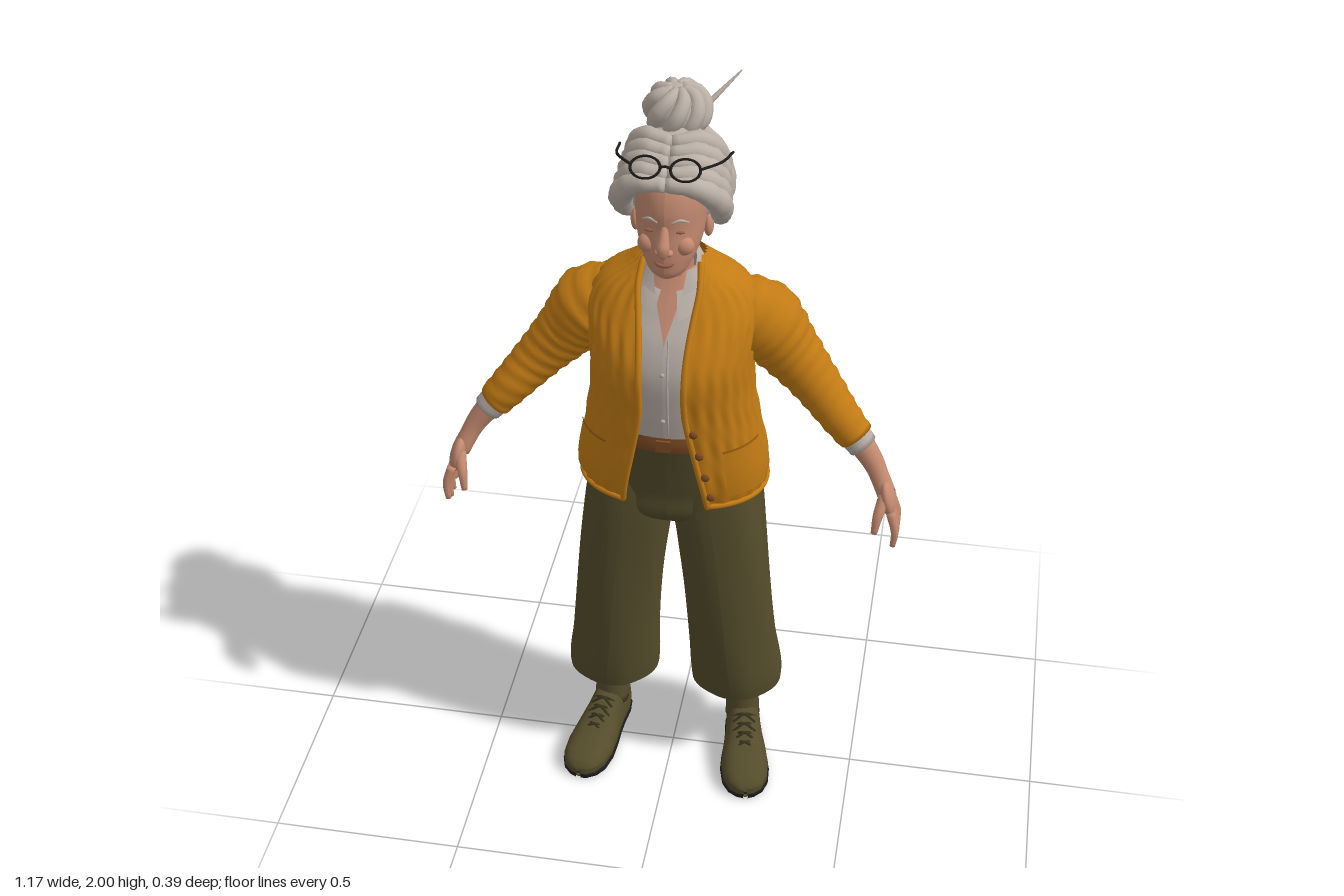
import * as THREE from 'three';

const mat = (name, color, side = THREE.FrontSide) => {
  const m = new THREE.MeshStandardMaterial({ color, side });
  m.name = name;
  return m;
};
const V = (x, y, z) => new THREE.Vector3(x, y, z);
const pw = (v, p) => Math.sign(v) * Math.abs(v) ** p;

// Skin a list of rings (arrays of points); closed rings wrap around
function loft(rings, closed = true) {
  const n = rings[0].length, pos = [], idx = [];
  rings.forEach(r => r.forEach(p => pos.push(p.x, p.y, p.z)));
  for (let i = 0; i < rings.length - 1; i++)
    for (let j = 0; j < (closed ? n : n - 1); j++) {
      const k = (j + 1) % n, a = i * n + j, b = i * n + k;
      idx.push(a, b, b + n, a, b + n, a + n);
    }
  const g = new THREE.BufferGeometry();
  g.setAttribute('position', new THREE.Float32BufferAttribute(pos, 3));
  g.setIndex(idx);
  g.computeVertexNormals();
  return g;
}

// Tapered tube through points, with a radius per point and optional wrinkles
function sweep(points, radii, seg = 20, sides = 12, wrinkle = 0) {
  const curve = new THREE.CatmullRomCurve3(points.map(p => V(...p)));
  const f = curve.computeFrenetFrames(seg, false), rings = [];
  const ring = (i, r) => Array.from({ length: sides }, (_, j) => {
    const a = j / sides * Math.PI * 2, q = r * (1 + wrinkle * Math.sin(i * 1.9 + 2 * Math.sin(a)));
    return curve.getPointAt(i / seg).addScaledVector(f.normals[i], q * Math.cos(a)).addScaledVector(f.binormals[i], q * Math.sin(a));
  });
  rings.push(ring(0, 0));
  for (let i = 0; i <= seg; i++) {
    const u = i / seg * (radii.length - 1), k = Math.min(Math.floor(u), radii.length - 2);
    rings.push(ring(i, THREE.MathUtils.lerp(radii[k], radii[k + 1], u - k)));
  }
  rings.push(ring(seg, 0));
  return loft(rings);
}

// Body surface from rows [y, centreX, halfWidth, zFront, zBack, frontOpening]
function surface(rows, p = 0.9) {
  const it = new THREE.CubicInterpolant(rows.map(r => r[0]), rows.flatMap(r => r.slice(1)), 5, new Float32Array(5));
  const at = (y, t, off = 0) => {
    const [cx, rx, zf, zb] = it.evaluate(y);
    return V(cx + (rx + off) * pw(Math.sin(t), p), y, (zf + zb) / 2 + ((zf - zb) / 2 + off) * pw(Math.cos(t), p));
  };
  const start = y => {
    const [, rx, , , open] = it.evaluate(y);
    return Math.asin(Math.min(0.98, Math.max(0, open / rx)) ** (1 / p));
  };
  const build = (n = 24, seg = 48, bump = () => 0) => {
    const y0 = rows[0][0], y1 = rows[rows.length - 1][0], rings = [];
    for (let i = 0; i <= n; i++) {
      const y = y0 + (y1 - y0) * i / n, t0 = start(y);
      rings.push(Array.from({ length: seg + 1 }, (_, j) => {
        const t = t0 + (2 * Math.PI - 2 * t0) * j / seg;
        return at(y, t, bump(y, t));
      }));
    }
    return loft(rings, false);
  };
  return { at, start, build };
}

export function createModel() {
  const root = new THREE.Group();
  const skin = mat('skin', 0xc48a70), hair = mat('grey hair', 0xbbb0a6), wool = mat('mustard wool', 0xc27b14, THREE.DoubleSide);
  const olive = mat('olive cloth', 0x544c2b, THREE.DoubleSide), shirt = mat('pale shirt', 0xb8ada6, THREE.DoubleSide);
  const black = mat('black', 0x1d1b1a), brown = mat('brown leather', 0x7d4a24), blush = mat('dark skin', 0x9a5f4c);
  const knit = mat('dark wool', 0x9c5f10, THREE.DoubleSide), lace = mat('dark olive', 0x37321d);
  const add = (name, geo, m, parent = root) => {
    const o = new THREE.Mesh(geo, m);
    o.name = name;
    parent.add(o);
    return o;
  };
  const blob = (name, m, p, s, parent) => {
    const o = add(name, new THREE.SphereGeometry(1, 28, 20), m, parent);
    o.position.set(...p);
    o.scale.set(...s);
    return o;
  };

  // Trousers: hips and two wide legs with open hems
  add('hips', surface([[0.82, 0, 0.05, 0.03, -0.09, 0], [0.87, 0, 0.18, 0.095, -0.15, 0], [0.95, 0, 0.215, 0.105, -0.165, 0],
    [1.05, 0, 0.195, 0.12, -0.16, 0], [1.15, 0, 0.165, 0.138, -0.14, 0]]).build(), olive);
  const legRows = [[0.25, 0.05, 0.29, 0.075, -0.175], [0.27, 0.048, 0.292, 0.08, -0.177], [0.4, 0.044, 0.275, 0.095, -0.165], [0.6, 0.03, 0.256, 0.105, -0.15],
    [0.75, 0.012, 0.242, 0.108, -0.15], [0.88, -0.004, 0.228, 0.107, -0.162], [1.0, 0.01, 0.212, 0.1, -0.16]];
  const belt = [[1.12, 0, 0.176, 0.145, -0.145, 0], [1.165, 0, 0.17, 0.147, -0.143, 0]];
  add('belt', surface([belt[0], [1.14, 0, 0.176, 0.149, -0.145, 0], belt[1]]).build(4), brown);
  add('buckle', new THREE.BoxGeometry(0.035, 0.032, 0.008), brown).position.set(0, 1.143, 0.15);

  // Shirt, chest, neck and collar
  const shirtRows = [[1.14, 0, 0.16, 0.14, -0.12, 0], [1.25, 0, 0.165, 0.155, -0.13, 0], [1.35, 0, 0.17, 0.16, -0.13, 0], [1.43, 0, 0.165, 0.135, -0.13, 0.001],
    [1.48, 0, 0.15, 0.104, -0.12, 0.016], [1.54, 0, 0.1, 0.07, -0.09, 0.033], [1.585, 0, 0.065, 0.05, -0.06, 0.04]];
  add('shirt', surface(shirtRows).build(28), shirt);
  add('chest', surface(shirtRows.slice(3).map(r => [r[0], 0, r[2] - 0.007, r[3] - 0.006, r[4] + 0.007, 0])).build(12), skin);
  add('neck', sweep([[0, 1.46, -0.01], [0, 1.55, 0.0], [0, 1.66, 0.02]], [0.06, 0.05, 0.05]), skin);
  const collar = [0, 0.5, 1].map(v => Array.from({ length: 41 }, (_, j) => {
    const t = 0.33 + (2 * Math.PI - 0.66) * j / 40, c = Math.cos(t), f = (1 + c) / 2, L = THREE.MathUtils.lerp;
    return V(L(0.088, 0.056, v) * Math.sin(t), L(1.61 - 0.13 * f, 1.638 - 0.1 * f, v) + 0.008 * Math.sin(v * Math.PI), L(0.022 + 0.092 * c, 0.005 + 0.06 * c, v));
  }));
  add('collar', loft(collar, false), shirt);
  for (const y of [1.22, 1.29, 1.36]) blob('shirtButton', shirt, [0, y, y > 1.3 ? 0.16 : 0.153], [0.006, 0.006, 0.004]);
  add('placket', sweep([[0.012, 1.17, 0.142], [0.012, 1.26, 0.156], [0.012, 1.35, 0.159], [0.01, 1.44, 0.13]], [0.003, 0.003]), shirt);

  // Cardigan body with knitted ribs
  const cardigan = surface([[0.94, 0, 0.234, 0.135, -0.183, 0.108], [1.0, 0, 0.24, 0.15, -0.183, 0.1], [1.15, 0, 0.216, 0.166, -0.168, 0.072],
    [1.25, 0, 0.202, 0.175, -0.157, 0.056], [1.35, 0, 0.2, 0.18, -0.158, 0.055], [1.42, 0, 0.206, 0.153, -0.16, 0.058],
    [1.48, 0, 0.205, 0.115, -0.155, 0.065], [1.53, 0, 0.175, 0.083, -0.138, 0.072], [1.57, 0, 0.115, 0.057, -0.108, 0.075], [1.605, 0, 0.075, 0.03, -0.075, 0.066]]);
  add('cardigan', cardigan.build(48, 180, (y, t) => 0.003 * Math.cos(30 * t) * (0.6 + 0.4 * Math.sin(y * 60 + 4 * t))), wool);
  for (const s of [1, -1]) {
    const edge = [];
    for (let y = 0.945; y < 1.605; y += 0.05) edge.push(cardigan.at(y, s * cardigan.start(y)).toArray());
    add('frontBand', sweep(edge, [0.008, 0.008], 50, 8), wool);
  }
  const hem = Array.from({ length: 40 }, (_, j) => {
    const t0 = cardigan.start(0.95);
    return cardigan.at(0.95, t0 + (2 * Math.PI - 2 * t0) * j / 39).toArray();
  });
  add('hemBand', sweep(hem, [0.008, 0.008], 90, 8), wool);
  for (const y of [0.99, 1.06, 1.13, 1.2]) {
    const b = cardigan.at(y, cardigan.start(y) + 0.06, 0.006);
    blob('cardiganButton', brown, b.toArray(), [0.011, 0.011, 0.006]);
  }

  for (const s of [1, -1]) {
    // Pocket with a darker slit along its top
    const patch = (y0, y1, off) => loft([0, 1, 2, 3, 4].map(i => Array.from({ length: 13 }, (_, j) =>
      cardigan.at(y0 + (y1 - y0) * i / 4, s * 0.98 + (j / 12 - 0.5) * 0.66, off))), false);
    add('pocket', patch(0.985, 1.13, 0.007), wool);
    add('pocketSlit', patch(1.13, 1.137, 0.009), knit);

    // Trouser leg
    add('trouserLeg', surface(legRows.map(([y, a, b, f, k]) => [y, s * (a + b) / 2, (b - a) / 2, f, k, 0]))
      .build(30, 48, (y, t) => 0.003 * Math.sin(5 * t + y * 4)), olive);

    // Sleeve, shirt cuff and forearm
    add('sleeve', sweep([[s * 0.13, 1.455, -0.045], [s * 0.2, 1.415, -0.052], [s * 0.28, 1.32, -0.058], [s * 0.355, 1.235, -0.04], [s * 0.415, 1.17, -0.012], [s * 0.458, 1.122, 0]],
      [0.075, 0.1, 0.079, 0.064, 0.054, 0.045], 40, 24, 0.035), wool);
    add('cuff', sweep([[s * 0.44, 1.142, -0.003], [s * 0.476, 1.1, 0.004]], [0.041, 0.038], 4, 20), shirt);
    add('forearm', sweep([[s * 0.46, 1.12, 0], [s * 0.505, 1.06, 0.014], [s * 0.53, 1.015, 0.03], [s * 0.545, 0.985, 0.04]], [0.034, 0.029, 0.024, 0.024], 14, 16), skin);

    // Hand: palm, four fingers and a thumb
    const palm = blob('palm', skin, [s * 0.551, 0.975, 0.045], [0.02, 0.052, 0.04]);
    palm.rotation.z = s * 0.25;
    for (let i = 0; i < 4; i++) {
      const z = 0.018 + i * 0.02, len = [0.075, 0.092, 0.096, 0.085][i];
      add('finger', sweep([[s * 0.561, 0.955, z + 0.002], [s * 0.575, 0.945 - len * 0.45, z + 0.004 * i], [s * 0.572, 0.948 - len, z + 0.005 * i]], [0.012, 0.0105, 0.007], 10, 10), skin);
    }
    add('thumb', sweep([[s * 0.542, 0.99, 0.06], [s * 0.53, 0.95, 0.092], [s * 0.524, 0.905, 0.104]], [0.016, 0.013, 0.008], 10, 10), skin);

    // Ankle and sock
    add('ankle', sweep([[s * 0.185, 0.13, -0.066], [s * 0.185, 0.25, -0.068], [s * 0.18, 0.5, -0.04]], [0.037, 0.041, 0.06], 10, 20), skin);
    add('sock', sweep([[s * 0.187, 0.08, -0.062], [s * 0.185, 0.182, -0.066]], [0.048, 0.043], 4, 20), olive);

    // Shoe built from slices running heel to toe: [z, half width, height]
    const shoe = new THREE.Group();
    shoe.name = 'shoe';
    const slices = [[-0.14, 0.004, 0.04], [-0.137, 0.022, 0.09], [-0.125, 0.037, 0.12], [-0.09, 0.046, 0.138], [-0.04, 0.048, 0.138], [0, 0.052, 0.12],
      [0.05, 0.06, 0.095], [0.1, 0.065, 0.078], [0.15, 0.06, 0.066], [0.18, 0.045, 0.056], [0.196, 0.024, 0.042], [0.2, 0.004, 0.025]];
    const shell = (grow, low, top) => loft(slices.map(([z, w, h]) => Array.from({ length: 24 }, (_, j) => {
      const a = j / 24 * Math.PI * 2, c = Math.cos(a);
      return V(-(w + grow) * pw(Math.sin(a), 0.75), c > 0 ? low + ((top || h) - low) * pw(c, 0.9) : low * (1 + pw(c, 0.4)) + (top ? 0 : 0.006), z);
    })));
    add('shoeUpper', shell(0, 0.03), olive, shoe);
    add('sole', shell(0.003, 0.012, 0.018), black, shoe);
    for (let i = 0; i < 4; i++) {
      const z = 0.0 + i * 0.024, y = 0.123 - i * 0.012;
      for (const d of [1, -1])
        add('shoelace', sweep([[-0.03 * d, y - 0.014, z - 0.01], [0, y + 0.003, z], [0.03 * d, y - 0.018, z + 0.01]], [0.004, 0.004], 8, 6), lace, shoe);
    }
    shoe.position.x = s * 0.2;
    shoe.rotation.y = s * 0.17;
    root.add(shoe);
  }

  // Head and face
  const head = new THREE.Group();
  head.name = 'head';
  root.add(head);
  add('face', surface([[1.596, 0, 0.012, 0.105, 0.07, 0], [1.61, 0, 0.038, 0.122, 0.03, 0], [1.64, 0, 0.06, 0.129, -0.02, 0], [1.68, 0, 0.075, 0.13, -0.06, 0],
    [1.73, 0, 0.083, 0.125, -0.08, 0], [1.78, 0, 0.085, 0.125, -0.09, 0], [1.83, 0, 0.08, 0.11, -0.09, 0], [1.87, 0, 0.06, 0.08, -0.07, 0]], 1).build(32, 40), skin, head);
  add('nose', sweep([[0, 1.745, 0.117], [0, 1.715, 0.134], [0, 1.69, 0.145], [0, 1.678, 0.136]], [0.008, 0.012, 0.016, 0.01], 12, 12), skin, head);
  add('mouth', sweep([[-0.028, 1.656, 0.116], [-0.012, 1.648, 0.129], [0.012, 1.648, 0.129], [0.028, 1.656, 0.116]], [0.002, 0.005, 0.005, 0.002], 12, 8), blush, head);
  for (const s of [1, -1]) {
    blob('nostril', skin, [s * 0.013, 1.683, 0.132], [0.009, 0.008, 0.01], head);
    blob('cheek', skin, [s * 0.042, 1.69, 0.103], [0.024, 0.024, 0.02], head);
    blob('ear', skin, [s * 0.086, 1.7, 0.015], [0.012, 0.03, 0.02], head);
    blob('eye', blush, [s * 0.033, 1.731, 0.115], [0.014, 0.004, 0.005], head);
    add('eyebrow', sweep([[s * 0.016, 1.756, 0.122], [s * 0.035, 1.763, 0.117], [s * 0.054, 1.753, 0.104]], [0.003, 0.004, 0.002], 8, 6), hair, head);

    // Waves sweeping from the parting round to the nape
    for (let i = 0; i < 5; i++)
      add('hairWave', sweep([[0, 1.847 + 0.015 * i, 0.11 - 0.022 * i], [s * 0.064, 1.84 + 0.016 * i, 0.098 - 0.026 * i], [s * (0.112 - 0.004 * i), 1.785 + 0.012 * i, 0.052 - 0.028 * i],
        [s * (0.11 - 0.01 * i), 1.72 - 0.004 * i, -0.005 - 0.028 * i], [s * (0.078 - 0.01 * i), 1.68 - 0.003 * i, -0.07 - 0.013 * i]],
      [0.016, 0.026, 0.03, 0.026, 0.01], 24, 12, 0.05), hair, head);
  }
  blob('hairBase', hair, [0, 1.79, -0.04], [0.122, 0.122, 0.122], head);
  blob('napeHair', hair, [0, 1.71, -0.09], [0.085, 0.065, 0.065], head);
  for (let k = -3; k <= 3; k++)
    add('backLock', sweep([[0.025 * k, 1.655 + 0.004 * k * k, -0.105 + 0.004 * k * k], [0.036 * k, 1.73, -0.15 + 0.008 * k * k], [0.03 * k, 1.83, -0.138 + 0.005 * k * k], [0.012 * k, 1.89, -0.11]],
      [0.012, 0.026, 0.026, 0.015], 20, 12, 0.04), hair, head);

  // Bun of twisted strands, with a pin through it
  blob('bun', hair, [-0.008, 1.925, -0.105], [0.066, 0.062, 0.068], head);
  for (let j = 0; j < 8; j++) {
    const strand = [0, 1, 2, 3, 4].map(i => {
      const p = 0.2 + i * 0.55, a = j * Math.PI / 4 + i * 0.3;
      return [-0.008 + 0.064 * Math.sin(p) * Math.cos(a), 1.925 + 0.058 * Math.cos(p), -0.105 + 0.066 * Math.sin(p) * Math.sin(a)];
    });
    add('bunStrand', sweep(strand, [0.01, 0.018, 0.02, 0.018, 0.012], 16, 10), hair, head);
  }
  add('hairPin', sweep([[-0.05, 1.84, -0.05], [0.04, 1.915, -0.12], [0.128, 1.995, -0.188]], [0.004, 0.005, 0.007, 0.002], 12, 8), hair, head);

  // Spectacles pushed up on the hair
  const specs = new THREE.Group();
  specs.name = 'spectacles';
  for (const s of [1, -1]) {
    const rim = add('rim', new THREE.TorusGeometry(0.034, 0.0035, 8, 28), black, specs);
    rim.position.set(s * 0.046, 1.888, 0.108);
    rim.rotation.x = -0.9;
    rim.scale.y = 0.8;
    add('temple', sweep([[s * 0.08, 1.892, 0.106], [s * 0.118, 1.888, 0.06], [s * 0.132, 1.862, -0.04]], [0.0035, 0.003], 10, 6), black, specs);
  }
  add('bridge', sweep([[-0.014, 1.89, 0.11], [0, 1.896, 0.112], [0.014, 1.89, 0.11]], [0.003, 0.003], 6, 6), black, specs);
  head.add(specs);
  return root;
}
